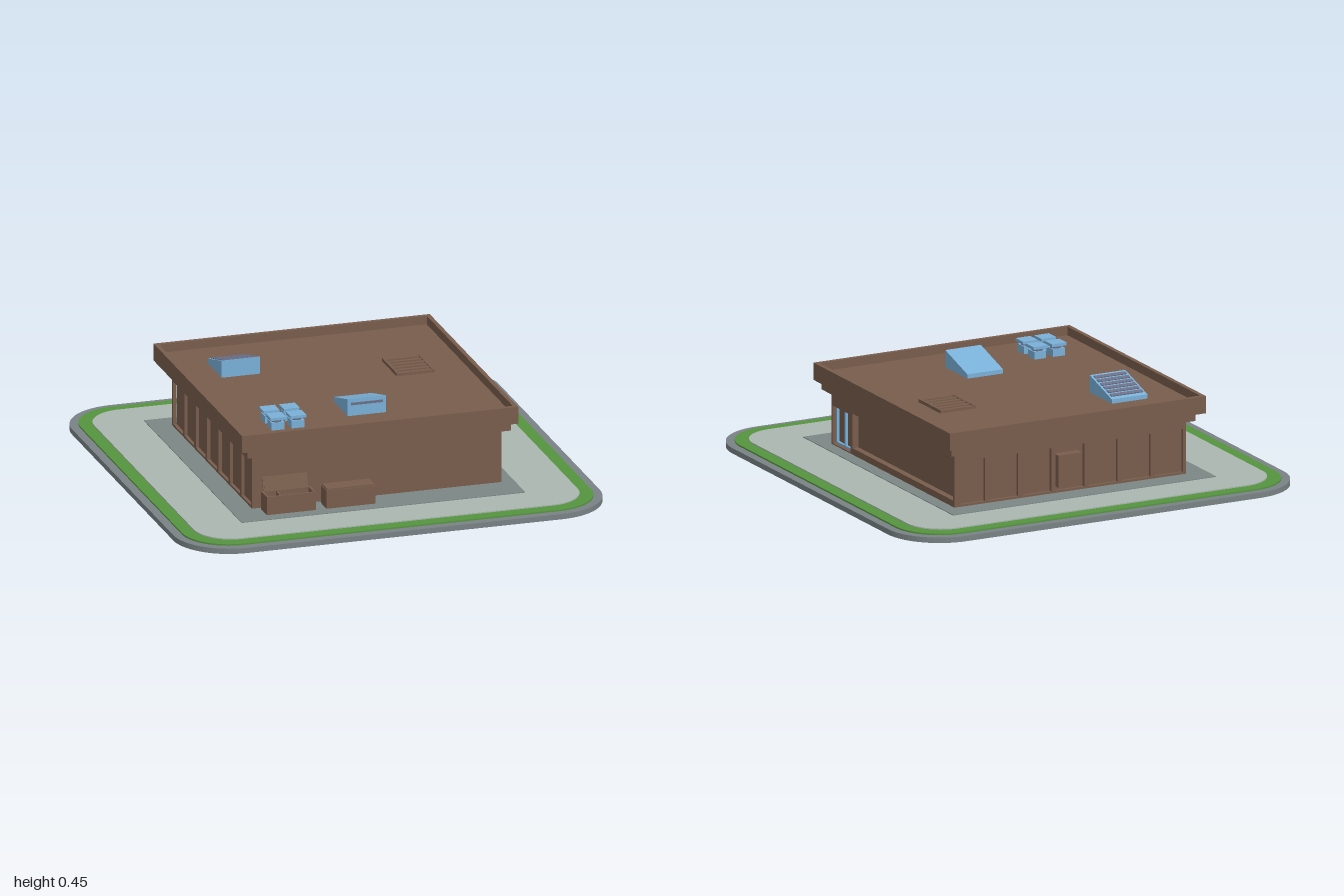
import * as THREE from 'three';

const mat = (color) => new THREE.MeshStandardMaterial({ color, flatShading: true });
const BROWN = mat(0x785d4c), BLUE = mat(0x7ab0d8), SLATE = mat(0x6b7088);
const CURB = mat(0x7a8285), GREEN = mat(0x559440), PAVING = mat(0xaab6b0), APRON = mat(0x7c8685);

export function createModel() {
  const model = new THREE.Group();

  const add = (name, geometry, material, parent = model) => {
    const mesh = new THREE.Mesh(geometry, material);
    mesh.name = name;
    parent.add(mesh);
    return mesh;
  };
  // Box given by its limits on each axis
  const box = (name, x0, x1, y0, y1, z0, z1, material = BROWN, parent = model) => {
    const mesh = add(name, new THREE.BoxGeometry(x1 - x0, y1 - y0, z1 - z0), material, parent);
    mesh.position.set((x0 + x1) / 2, (y0 + y1) / 2, (z0 + z1) / 2);
    return mesh;
  };
  const rect = (Type, u0, u1, v0, v1) => new Type([[u0, v0], [u1, v0], [u1, v1], [u0, v1]].map(([u, v]) => new THREE.Vector2(u, v)));
  const extrude = (shape, depth) => new THREE.ExtrudeGeometry(shape, { depth, bevelEnabled: false, curveSegments: 8 });

  // Ground: stacked rounded squares
  const pad = (name, half, radius, y0, y1, material) => {
    const s = new THREE.Shape(), k = half - radius;
    [[k, -k, -90], [k, k, 0], [-k, k, 90], [-k, -k, 180]].forEach(([x, y, a]) =>
      s.absarc(x, y, radius, THREE.MathUtils.degToRad(a), THREE.MathUtils.degToRad(a + 90), false));
    const mesh = add(name, extrude(s, y1 - y0), material);
    mesh.rotation.x = -Math.PI / 2;
    mesh.position.y = y0;
  };
  pad('curb', 1, 0.26, 0, 0.025, CURB);
  pad('lawnStrip', 0.96, 0.22, 0.02, 0.032, GREEN);
  pad('paving', 0.9, 0.17, 0.025, 0.037, PAVING);
  box('apron', -0.67, 0.66, 0.03, 0.04, -0.72, 0.71, APRON);

  // Building core, with facades pierced by openings laid over three sides
  box('wallCore', -0.555, 0.57, 0.035, 0.29, -0.605, 0.55);
  const facade = (name, u0, u1, holes, depth, angle, x, z) => {
    const shape = rect(THREE.Shape, u0, u1, 0.035, 0.29);
    holes.forEach((h) => shape.holes.push(rect(THREE.Path, ...h)));
    const mesh = add(name, extrude(shape, depth), BROWN);
    mesh.rotation.y = angle;
    mesh.position.set(x, 0, z);
  };
  facade('leftFacade', -0.55, 0.62, [[-0.54, -0.37, 0.045, 0.22], [-0.35, 0.61, 0.07, 0.23]], 0.03, Math.PI / 2, 0.57, 0);
  const bays = (u0, u1, n) => Array.from({ length: n }, (_, i) => {
    const w = (u1 - u0) / n;
    return [u0 + i * w + 0.012, u0 + (i + 1) * w - 0.012, 0.05, 0.25];
  });
  facade('backFacade', -0.6, 0.57, bays(-0.6, 0.57, 7), 0.015, Math.PI, 0, -0.605);
  facade('rightFacade', -0.62, 0.55, bays(-0.62, 0.55, 7), 0.015, -Math.PI / 2, -0.555, 0);
  box('backCabinet', -0.03, 0.09, 0.07, 0.22, -0.65, -0.6);

  // Glazed double door
  const door = new THREE.Group();
  door.name = 'doubleDoor';
  model.add(door);
  [0.371, 0.452, 0.531].forEach((z) => box('doorPost', 0.57, 0.582, 0.045, 0.22, z, z + 0.009, BLUE, door));
  [0.045, 0.212].forEach((y) => box('doorRail', 0.57, 0.582, y, y + 0.008, 0.37, 0.54, BLUE, door));

  // Cornice, roof and parapet
  box('cornice', -0.6, 0.635, 0.29, 0.33, -0.655, 0.58);
  box('roofSlab', -0.635, 0.66, 0.33, 0.37, -0.69, 0.61);
  const rim = rect(THREE.Shape, -0.635, 0.66, -0.61, 0.69);
  rim.holes.push(rect(THREE.Path, -0.615, 0.64, -0.59, 0.67));
  const parapet = add('parapet', extrude(rim, 0.04), BROWN);
  parapet.rotation.x = -Math.PI / 2;
  parapet.position.y = 0.37;

  // Two wedge-shaped roof hoods, tall end to the front
  const hood = (name, xRight, zLow) => {
    const group = new THREE.Group();
    group.name = name;
    group.position.set(xRight, 0.37, zLow);
    model.add(group);
    const profile = new THREE.Shape([[0, 0], [0.21, 0], [0.21, 0.08], [0, 0.02]].map(([u, v]) => new THREE.Vector2(u, v)));
    add('hoodBody', extrude(profile, 0.18), BLUE, group).rotation.y = -Math.PI / 2;
    return group;
  };
  const plainHood = hood('plainHood', 0.11, 0.18);
  box('hoodSlot', -0.165, -0.015, 0.05, 0.062, 0.2, 0.212, SLATE, plainHood);
  const louvreHood = hood('louvredHood', -0.27, -0.48);
  for (let i = 0; i < 6; i++) {
    const z = 0.03 + i * 0.031;
    const slat = box('hoodLouvre', -0.17, -0.01, z * 0.286 + 0.017, z * 0.286 + 0.024, z - 0.01, z + 0.01, SLATE, louvreHood);
    slat.rotation.x = -0.28;
  }

  // Four cooling units, each a raised box with a round fan collar
  for (const x of [-0.422, -0.328]) for (const z of [0.34, 0.44]) {
    const unit = new THREE.Group();
    unit.name = 'coolingUnit';
    unit.position.set(x, 0.37, z);
    model.add(unit);
    box('unitBase', -0.03, 0.03, 0, 0.035, -0.03, 0.03, BLUE, unit);
    add('fanCollar', new THREE.CylinderGeometry(0.026, 0.026, 0.014, 12), SLATE, unit).position.y = 0.042;
    box('unitCap', -0.037, 0.037, 0.047, 0.06, -0.035, 0.035, BLUE, unit);
  }

  // Low slatted roof vent
  for (const x of [0.3, 0.468]) box('ventSide', x, x + 0.012, 0.37, 0.385, -0.26, -0.05);
  for (let i = 0; i < 6; i++) {
    const z = -0.26 + i * 0.038;
    box('ventSlat', 0.312, 0.468, 0.37, 0.383, z, z + 0.02);
  }

  // Refuse bins by the front wall
  const bin = (name, x0, open) => {
    const group = new THREE.Group();
    group.name = name;
    group.position.set(x0, 0.04, 0.59);
    model.add(group);
    box('binFloor', 0, 0.23, 0.008, 0.02, 0, 0.085, BROWN, group);
    for (const z of [0, 0.075]) box('binPanel', 0, 0.23, 0.008, 0.093, z, z + 0.01, BROWN, group);
    for (const x of [0, 0.22]) box('binEnd', x, x + 0.01, 0.008, 0.093, 0.01, 0.075, BROWN, group);
    if (open) {
      box('binDivider', 0.067, 0.075, 0.02, 0.09, 0.01, 0.075, BROWN, group);
      const lid = box('openLid', 0.01, 0.22, 0.09, 0.155, -0.012, -0.007, BROWN, group);
      lid.rotation.x = -0.3;
      for (const y of [-0.015, 0.015]) box('lidRib', -0.1, 0.1, y - 0.004, y + 0.004, 0.002, 0.006, BROWN, lid);
    } else {
      box('closedLid', 0.004, 0.226, 0.088, 0.1, 0.004, 0.081, BROWN, group);
    }
  };
  bin('openBin', -0.54, true);
  bin('closedBin', -0.26, false);

  return model;
}
